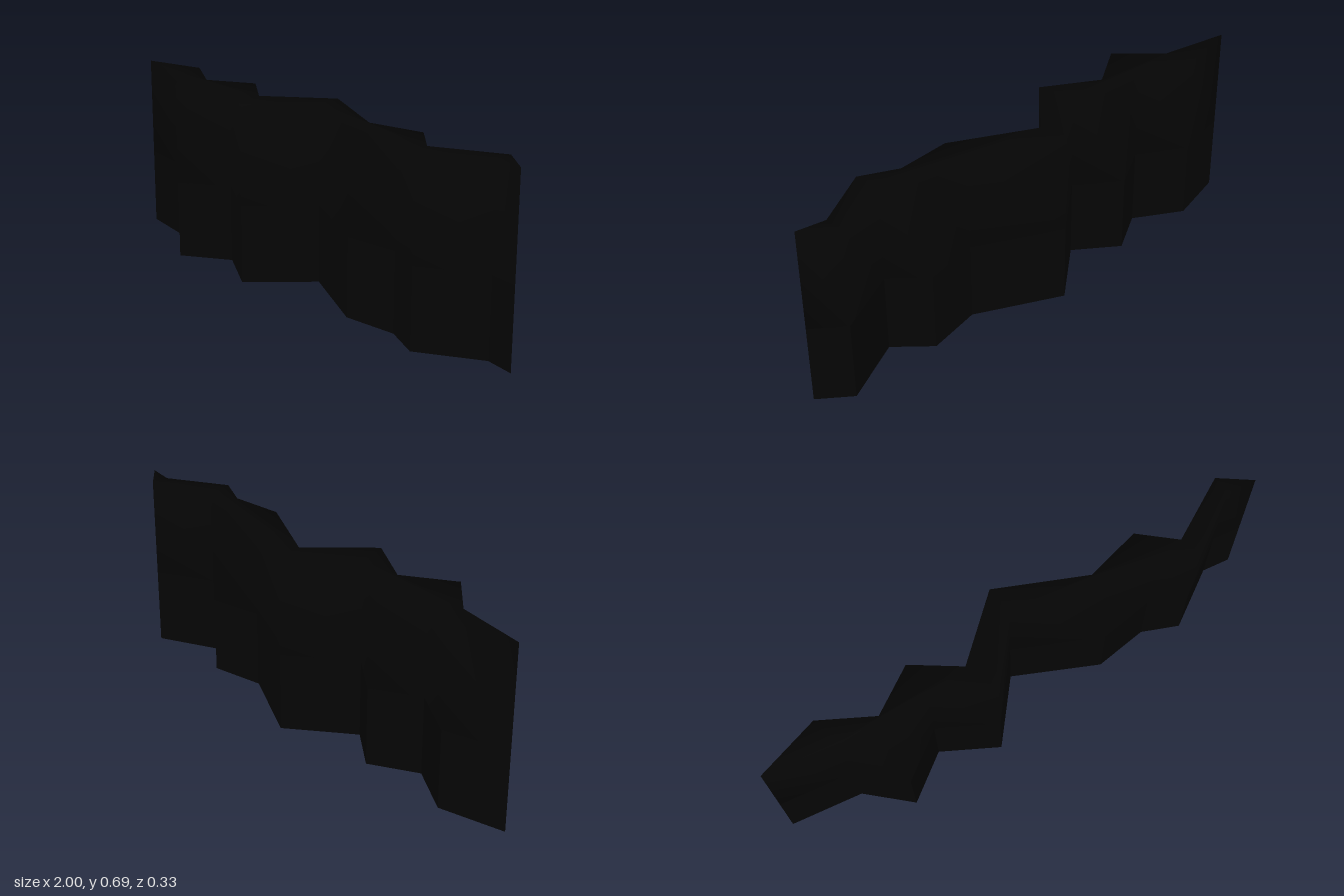
import * as THREE from 'three';

// Zigzag footprint as [x, z]: along the back from right to left, then along the front
const outline = [
  [-1, -0.02], [-0.76, -0.09], [-0.57, 0.015], [-0.4, -0.09], [-0.235, 0.025],
  [-0.015, -0.167], [0.31, -0.02], [0.52, -0.07], [0.645, 0.04], [0.885, -0.09],
  [1, -0.005],
  [0.89, -0.02], [0.67, 0.12], [0.53, 0.06], [0.32, 0.085], [0, -0.065],
  [-0.185, 0.155], [-0.395, 0.04], [-0.57, 0.163], [-0.725, 0.02],
];
const HEIGHT = 0.685;
const BAND = 0.3; // top of the faceted lower band

// Averages the normals of all triangles above the given height
function smoothAbove(geometry, level) {
  const pos = geometry.attributes.position;
  const normal = geometry.attributes.normal;
  const sums = new Map();
  const upper = [];
  const point = new THREE.Vector3();
  const n = new THREE.Vector3();
  const key = (i) => point.fromBufferAttribute(pos, i).toArray().map((v) => v.toFixed(3)).join();
  for (let i = 0; i < pos.count; i += 3) {
    if ((pos.getY(i) + pos.getY(i + 1) + pos.getY(i + 2)) / 3 < level + 0.01) continue;
    for (let j = i; j < i + 3; j++) {
      upper.push(j);
      const k = key(j);
      if (!sums.has(k)) sums.set(k, new THREE.Vector3());
      sums.get(k).add(n.fromBufferAttribute(normal, j));
    }
  }
  for (const j of upper) {
    n.copy(sums.get(key(j))).normalize();
    normal.setXYZ(j, n.x, n.y, n.z);
  }
}

export function createModel() {
  const group = new THREE.Group();
  group.name = 'zigzagWall';

  // Upright wall with one ring of vertices at the band height
  const shape = new THREE.Shape(outline.map(([x, z]) => new THREE.Vector2(x, -z)));
  const geometry = new THREE.ExtrudeGeometry(shape, { depth: HEIGHT, steps: 2, bevelEnabled: false });
  geometry.rotateX(-Math.PI / 2);
  const pos = geometry.attributes.position;
  for (let i = 0; i < pos.count; i++) {
    if (Math.abs(pos.getY(i) - HEIGHT / 2) < 0.01) pos.setY(i, BAND);
  }
  geometry.computeVertexNormals();
  smoothAbove(geometry, BAND);

  const wall = new THREE.Mesh(geometry, new THREE.MeshStandardMaterial({ color: 0x050505 }));
  wall.name = 'wall';
  group.add(wall);
  return group;
}
